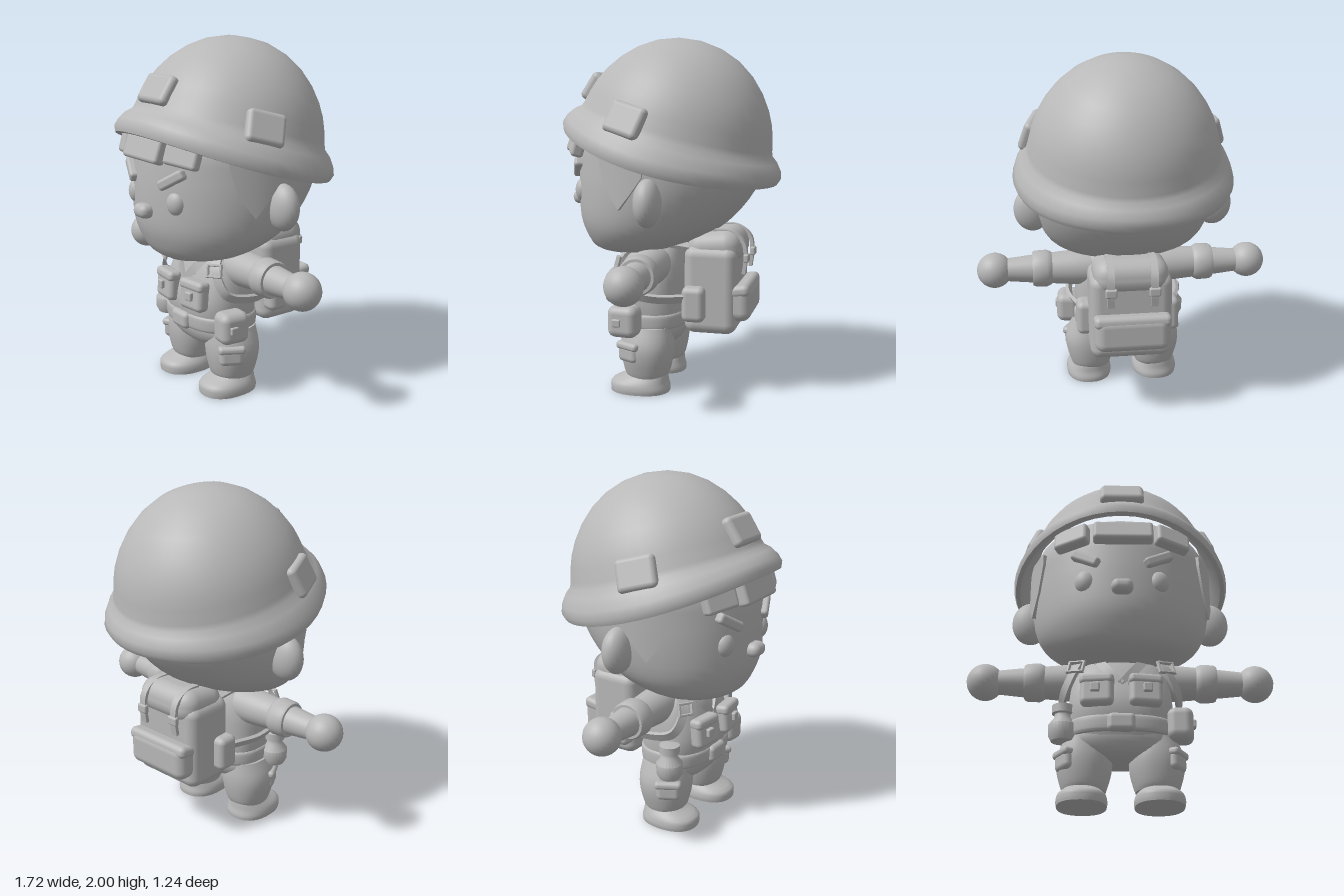
import * as THREE from 'three';
import { mergeVertices, toCreasedNormals } from 'three/addons/utils/BufferGeometryUtils.js';
import { RoundedBoxGeometry } from 'three/addons/geometries/RoundedBoxGeometry.js';

const clay = new THREE.MeshStandardMaterial({ color: 0xb8b8b8 });
clay.name = 'grey clay';
const V = (x, y, z) => new THREE.Vector3(x, y, z);

export function createModel() {
  const model = new THREE.Group();
  model.name = 'soldier';

  const add = (name, geo, x = 0, y = 0, z = 0, rx = 0, ry = 0, rz = 0, parent = model) => {
    const m = new THREE.Mesh(geo, clay);
    m.name = name;
    m.position.set(x, y, z);
    m.rotation.set(rx, ry, rz);
    parent.add(m);
    return m;
  };
  const rbox = (w, h, d, r = 0.02) => new RoundedBoxGeometry(w, h, d, 3, r);
  const ball = (rx, ry, rz) => new THREE.SphereGeometry(1, 24, 16).scale(rx, ry, rz);
  const both = (fn) => [1, -1].forEach(fn);

  // Skin over closed cross-sections, with flat end caps
  const skin = (rings, crease) => {
    const n = rings[0].length, pos = [], idx = [];
    rings.forEach((r) => r.forEach((p) => pos.push(p.x, p.y, p.z)));
    for (let i = 0; i < rings.length - 1; i++) for (let j = 0; j < n; j++) {
      const k = (j + 1) % n, a = i * n + j, b = i * n + k;
      idx.push(a, b, a + n, b, b + n, a + n);
    }
    [rings[0], rings[rings.length - 1]].forEach((r, end) => {
      const c = r.reduce((s, p) => s.add(p), V(0, 0, 0)).divideScalar(n);
      const ci = pos.length / 3;
      pos.push(c.x, c.y, c.z);
      const o = end ? (rings.length - 1) * n : 0;
      for (let j = 0; j < n; j++) {
        const k = (j + 1) % n;
        if (end) idx.push(ci, o + j, o + k); else idx.push(ci, o + k, o + j);
      }
    });
    const g = new THREE.BufferGeometry();
    g.setAttribute('position', new THREE.Float32BufferAttribute(pos, 3));
    g.setIndex(idx);
    return toCreasedNormals(g, crease);
  };

  // Upright body from rows [y, half width, centre z, half depth]
  const loft = (rows, p = 2.2, n = 36) => {
    const A = new THREE.CatmullRomCurve3(rows.map((r) => V(r[0], r[1], 0)), false, 'catmullrom');
    const B = new THREE.CatmullRomCurve3(rows.map((r) => V(r[2], r[3], 0)), false, 'catmullrom');
    const steps = (rows.length - 1) * 3, rings = [];
    const pw = (v) => Math.sign(v) * Math.abs(v) ** (2 / p);
    for (let i = 0; i <= steps; i++) {
      const a = A.getPoint(i / steps), b = B.getPoint(i / steps);
      rings.push(Array.from({ length: n }, (_, j) => {
        const t = (j / n) * Math.PI * 2;
        return V(a.y * pw(Math.sin(t)), a.x, b.x + b.y * pw(Math.cos(t)));
      }));
    }
    return skin(rings, 0.9);
  };

  // Flat strap along a path, facing away from a centre point
  const strap = (pts, width, thick, centre) => {
    const c = new THREE.CatmullRomCurve3(pts), n = pts.length * 5, rings = [];
    for (let i = 0; i <= n; i++) {
      const p = c.getPoint(i / n), t = c.getTangent(i / n);
      const o = p.clone().sub(centre);
      o.addScaledVector(t, -o.dot(t)).normalize();
      const s = t.clone().cross(o);
      rings.push([[1, 1], [-1, 1], [-1, -1], [1, -1]].map(([u, v]) =>
        p.clone().addScaledVector(o, u * thick / 2).addScaledVector(s, v * width / 2)));
    }
    return skin(rings, 0.6);
  };
  const lathe = (pts, seg = 32) => new THREE.LatheGeometry(pts.map((p) => new THREE.Vector2(...p)), seg);

  // Head and face
  add('head', loft([[0.782, 0.14, 0.25, 0.13], [0.825, 0.31, 0.205, 0.25], [0.9, 0.415, 0.135, 0.365],
    [1.0, 0.475, 0.085, 0.447], [1.15, 0.51, 0.03, 0.51], [1.3, 0.52, 0.0, 0.535],
    [1.45, 0.515, -0.01, 0.52], [1.6, 0.45, -0.05, 0.44], [1.72, 0.25, -0.08, 0.25]], 1.98, 44));
  add('nose', rbox(0.12, 0.08, 0.09, 0.038), 0, 1.085, 0.555);
  both((s) => {
    add('eye', ball(0.057, 0.067, 0.045), s * 0.2, 1.15, 0.476, 0, s * 0.3);
    add('eyebrow', rbox(0.175, 0.058, 0.07, 0.018), s * 0.195, 1.28, 0.495, 0, s * 0.38, s * 0.5);
    add('ear', ball(0.108, 0.13, 0.075), s * 0.523, 1.125, 0.01);
    add('sideFringe', rbox(0.2, 0.13, 0.07), s * 0.275, 1.42, 0.48, -0.3, s * 0.45);
    // Pointed lock in front of the ear, wrapped round the head
    const top = [0.98, 1.07, 1.24, 1.38, 1.5], low = [1.36, 1.2, 1.08, 1.17, 1.26];
    const rings = top.map((a, i) => [[low[i], -0.01], [low[i], 0.02], [1.42, 0.02], [1.42, -0.01]].map(
      ([y, o]) => V(s * (0.512 + o) * Math.sin(a), y, (0.53 + o) * Math.cos(a))));
    if (s > 0) rings.reverse();
    add('sideLock', skin(rings, 0.5));
  });
  add('centreFringe', rbox(0.33, 0.135, 0.07), 0.005, 1.425, 0.54, -0.35);

  // Helmet: tilted dome with a brim that droops at the sides
  const helmet = new THREE.Group();
  helmet.name = 'helmet';
  helmet.position.set(0, 1.385, 0);
  helmet.rotation.x = -0.267;
  model.add(helmet);
  let shell = lathe([[0.5, 0.14], [0.55, 0.02], [0.605, -0.045], [0.632, -0.04], [0.645, -0.005],
    [0.632, 0.035], [0.6, 0.075], [0.565, 0.1], [0.555, 0.125], [0.536, 0.2], [0.512, 0.27], [0.473, 0.345],
    [0.413, 0.428], [0.334, 0.505], [0.24, 0.566], [0.126, 0.607], [0.0, 0.622]], 48);
  shell.deleteAttribute('uv');
  shell.deleteAttribute('normal');
  shell = mergeVertices(shell, 1e-4);
  const sp = shell.attributes.position;
  for (let i = 0; i < sp.count; i++) {
    const w = THREE.MathUtils.clamp((0.13 - sp.getY(i)) / 0.1, 0, 1);
    sp.setY(i, sp.getY(i) - 0.06 * w * (sp.getX(i) / 0.64) ** 2);
    sp.setX(i, sp.getX(i) * 0.975);
  }
  add('helmetShell', toCreasedNormals(shell, 0.75), 0, 0, 0, 0, 0, 0, helmet);
  [[0, 0.25, 0.17, 0.22, 0.537], [1.25, 0.22, 0.18, 0.135, 0.55], [-1.25, 0.22, 0.18, 0.135, 0.55]]
    .forEach(([a, w, h, u, r]) => {
      const g = new RoundedBoxGeometry(w, h, 0.065, 5, 0.028), p = g.attributes.position;
      for (let i = 0; i < p.count; i++) p.setZ(i, p.getZ(i) - p.getX(i) ** 2 / 1.06);
      const m = add('helmetPatch', g, r * Math.sin(a), u, r * Math.cos(a), -0.32, a, 0, helmet);
      m.rotation.order = 'YXZ';
    });

  // Torso, belt and trousers
  add('shirt', loft([[0.33, 0.26, 0.1, 0.18], [0.45, 0.28, 0.11, 0.205], [0.55, 0.285, 0.115, 0.205],
    [0.68, 0.27, 0.1, 0.185], [0.78, 0.22, 0.09, 0.155], [0.86, 0.13, 0.08, 0.11]], 2.6));
  add('belt', loft([[0.37, 0.286, 0.11, 0.204], [0.385, 0.291, 0.11, 0.21], [0.44, 0.291, 0.11, 0.213],
    [0.455, 0.284, 0.11, 0.206]], 2.6));
  add('buckle', rbox(0.15, 0.1, 0.06, 0.028), 0, 0.41, 0.315);
  add('hips', loft([[0.245, 0.1, 0.1, 0.1], [0.28, 0.24, 0.1, 0.155], [0.34, 0.295, 0.1, 0.185],
    [0.4, 0.28, 0.1, 0.19]], 2.4));

  both((s) => {
    add('trouserLeg', loft([[0.09, 0.115, 0.1, 0.115], [0.12, 0.126, 0.1, 0.13], [0.2, 0.147, 0.1, 0.147],
      [0.28, 0.148, 0.1, 0.152], [0.38, 0.11, 0.1, 0.14]]), s * 0.195, 0, 0);
    add('shoe', loft([[0, 0.132, 0.14, 0.17], [0.025, 0.136, 0.14, 0.172], [0.06, 0.128, 0.14, 0.163],
      [0.1, 0.1, 0.1, 0.12], [0.13, 0.09, 0.09, 0.1]], 2.3), s * 0.205, 0, 0);
    add('cargoPocket', rbox(0.07, 0.1, 0.14, 0.03), s * 0.295, 0.235, 0.18, 0, -s * 0.5);
    add('cargoFlap', rbox(0.08, 0.045, 0.155), s * 0.298, 0.28, 0.18, 0, -s * 0.5);

    // Arm
    const arm = -s * Math.PI / 2;
    add('sleeve', toCreasedNormals(lathe([[0.1, 0.1], [0.108, 0.2], [0.102, 0.3], [0.092, 0.42], [0.1, 0.43],
      [0.109, 0.45], [0.106, 0.52], [0.098, 0.535], [0.07, 0.535]]), 0.7), 0, 0.73, 0.07, 0, 0, arm);
    add('forearm', lathe([[0.085, 0.5], [0.08, 0.56], [0.066, 0.7]]), 0, 0.73, 0.07, 0, 0, arm);
    add('hand', ball(0.104, 0.104, 0.104), s * 0.757, 0.73, 0.07);

    // Chest details and shoulder straps
    add('chestPocket', rbox(0.18, 0.17, 0.08, 0.03), s * 0.13, 0.585, 0.315, -0.08, s * 0.12);
    add('chestFlap', rbox(0.186, 0.06, 0.084, 0.025), s * 0.13, 0.645, 0.315, -0.1, s * 0.12);
    add('pocketButton', rbox(0.05, 0.05, 0.03, 0.008), s * 0.14, 0.59, 0.36, 0, s * 0.12);
    add('collar', strap([V(0, 0.63, 0.29), V(s * 0.07, 0.72, 0.265), V(s * 0.14, 0.82, 0.2)], 0.05, 0.025,
      V(0, 0.7, 0)));
    add('shoulderStrap', strap([V(s * 0.17, 0.84, -0.14), V(s * 0.18, 0.855, 0.02), V(s * 0.2, 0.83, 0.18),
      V(s * 0.245, 0.74, 0.25), V(s * 0.305, 0.61, 0.22), V(s * 0.32, 0.565, 0.06), V(s * 0.27, 0.56, -0.13)],
      0.05, 0.02, V(s * 0.1, 0.68, 0.04)));
    const ring = new THREE.TorusGeometry(0.05, 0.012, 6, 4).rotateZ(Math.PI / 4).scale(1.2, 0.9, 1);
    add('strapBuckle', toCreasedNormals(ring, 0.6), s * 0.245, 0.745, 0.262, -0.3, s * 0.35, s * 0.2);

    // Backpack side pouches and lid straps
    add('packSidePouch', rbox(0.1, 0.2, 0.13, 0.035), s * 0.245, 0.53, -0.18);
    add('lidStrap', strap([V(s * 0.12, 0.93, -0.27), V(s * 0.12, 0.925, -0.36), V(s * 0.12, 0.87, -0.435),
      V(s * 0.12, 0.78, -0.45), V(s * 0.12, 0.69, -0.44)], 0.04, 0.02, V(s * 0.12, 0.76, -0.25)));
    add('lidBuckle', rbox(0.065, 0.05, 0.03, 0.01), s * 0.12, 0.78, -0.455);
  });

  // Backpack
  add('packBody', rbox(0.46, 0.5, 0.3, 0.06), 0, 0.6, -0.262);
  add('packLid', rbox(0.42, 0.2, 0.31, 0.09), 0, 0.83, -0.275, 0.1);
  add('packPocket', rbox(0.42, 0.21, 0.15, 0.055), 0, 0.53, -0.415);
  add('packPocketFlap', rbox(0.43, 0.07, 0.14, 0.03), 0, 0.6, -0.415, 0.15);

  // Belt pouch and canteen
  add('beltPouch', rbox(0.14, 0.18, 0.175, 0.045), 0.32, 0.43, 0.2, 0, -0.1);
  add('pouchButton', rbox(0.03, 0.045, 0.05, 0.008), 0.385, 0.43, 0.23);
  add('canteen', toCreasedNormals(lathe([[0, 0], [0.06, 0], [0.075, 0.03], [0.076, 0.09], [0.045, 0.13],
    [0.043, 0.15], [0.058, 0.155], [0.058, 0.2], [0, 0.21]], 24), 0.7), -0.313, 0.34, 0.2);
  return model;
}
